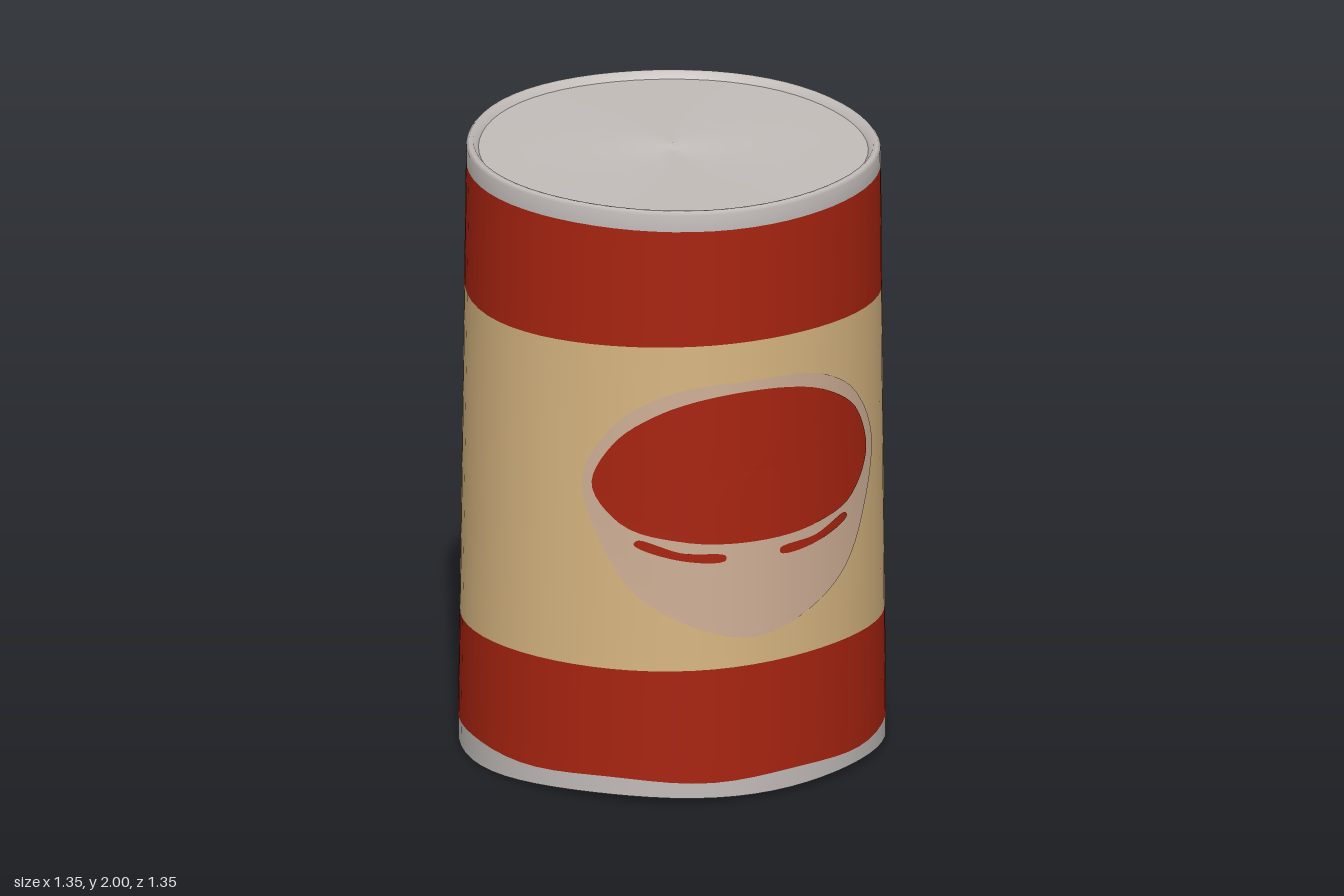
import * as THREE from 'three';

const mat = (name, color, side = THREE.FrontSide) => {
  const m = new THREE.MeshStandardMaterial({ color, side });
  m.name = name;
  return m;
};

const SEG = 64;
const rad = THREE.MathUtils.degToRad;

// Point on the slightly tapered, slightly leaning can wall; angle 0 is the front, turning towards +x
function wall(angle, y, offset = 0, scale = 1) {
  const r = (0.676 - 0.011 * y + 0.004 * Math.cos(5 * angle + 1) + offset) * scale;
  return new THREE.Vector3(Math.sin(angle) * r, y, Math.cos(angle) * r + 0.006 * y);
}

// Skin a list of closed rings of equal length
function loft(rings) {
  const n = rings[0].length, pos = [], idx = [];
  rings.forEach(ring => ring.forEach(p => pos.push(p.x, p.y, p.z)));
  for (let j = 0; j < rings.length - 1; j++) {
    for (let i = 0; i < n; i++) {
      const k = (i + 1) % n, a = j * n + i, b = j * n + k;
      idx.push(a, b, b + n, a, b + n, a + n);
    }
  }
  const g = new THREE.BufferGeometry();
  g.setAttribute('position', new THREE.Float32BufferAttribute(pos, 3));
  g.setIndex(idx);
  g.computeVertexNormals();
  return g;
}

const ring = (heightAt, scale = 1) => Array.from({ length: SEG }, (_, i) => {
  const a = (i / SEG) * Math.PI * 2;
  return wall(a, heightAt(a), 0, scale);
});

// Curved label patch filling a smooth counter-clockwise outline of [degrees, height] points
function patch(outline, offset) {
  const curve = new THREE.CatmullRomCurve3(
    outline.map(([d, y]) => new THREE.Vector3(rad(d), y, 0)), true, 'centripetal');
  const pts = curve.getPoints(72).slice(0, 72);
  const c = pts.reduce((s, p) => s.add(p), new THREE.Vector3()).divideScalar(pts.length);
  const rings = [];
  for (let k = 8; k >= 0; k--) {
    rings.push(pts.map(p => {
      const q = c.clone().lerp(p, k / 8);
      return wall(q.x, q.y, offset);
    }));
  }
  return loft(rings);
}

export function createModel() {
  const group = new THREE.Group();
  const red = mat('red', 0xa82410);
  const tan = mat('tan', 0xd8b681);
  const silver = mat('silver', 0xc2bcb9);
  const pink = mat('pale pink', 0xcfaf96);
  const mauve = mat('mauve grey', 0x9f8882);

  const add = (name, geometry, material) => {
    const m = new THREE.Mesh(geometry, material);
    m.name = name;
    group.add(m);
  };

  // Heights of the seams, varying gently around the can
  const top = a => 1.985 - 0.015 * Math.cos(a);
  const topEdge = a => 1.92 - 0.014 * Math.cos(a);
  const upper = a => 1.53 - 0.022 * Math.cos(a) + 0.018 * Math.cos(2 * a);
  const lower = a => 0.43 + 0.018 * Math.cos(a) + 0.005 * Math.sin(3 * a);
  const lowEdge = a => 0.08 - 0.008 * Math.cos(a) + 0.006 * Math.sin(7 * a);
  const bottom = a => 0.015 - 0.006 * Math.cos(4 * a) + 0.006 * Math.cos(2 * a);
  const shift = (f, d) => a => f(a) + d;

  // Wall bands
  const between = (lo, hi) => loft([0, 0.25, 0.5, 0.75, 1].map(t =>
    ring(a => THREE.MathUtils.lerp(lo(a), hi(a), t))));
  add('lowerBand', between(lowEdge, lower), red);
  add('labelBand', between(lower, upper), tan);
  add('upperBand', between(upper, topEdge), red);

  // Metal ends
  add('bottomRim', between(bottom, lowEdge), silver);
  add('bottomPlate', loft([0, 0.5, 0.94, 1].map((s, i) =>
    ring(shift(bottom, i < 2 ? 0.012 : 0), s))), silver);
  add('topRim', loft([ring(topEdge), ring(shift(top, -0.01)), ring(top, 0.985),
    ring(top, 0.965), ring(shift(top, -0.022), 0.94)]), silver);
  add('lid', loft([0.94, 0.6, 0.3, 0].map(s => ring(shift(top, -0.022), s))), silver);

  // Front emblem: pale bowl, red oval and two thin strokes
  add('frontBowl', patch([[0, 0.54], [19, 0.6], [33, 0.7], [41, 0.83], [48, 1.06], [39, 1.25],
    [22, 1.37], [0, 1.395], [-22, 1.37], [-39, 1.25], [-48, 1.06], [-41, 0.83],
    [-33, 0.7], [-19, 0.6]], 0.003), pink);
  add('frontOval', patch([[0, 0.86], [20, 0.875], [36, 0.93], [43.5, 1.05], [39, 1.19], [26, 1.3],
    [10, 1.355], [-10, 1.355], [-26, 1.3], [-39, 1.19], [-45, 1.05], [-37, 0.93],
    [-20, 0.875]], 0.006), red);
  for (const s of [-1, 1]) {
    const stroke = [[8, 0.808], [20, 0.812], [33, 0.862], [32, 0.876], [20, 0.838], [8, 0.822]];
    const pts = s > 0 ? stroke : stroke.map(([d, y]) => [-d, y]).reverse();
    add('frontStroke', patch(pts, 0.006), red);
  }

  // Back emblem: pale backing, irregular red shape, small stroke and upright panel
  const back = pts => pts.map(([d, y]) => [215 + d, y]);
  add('backBacking', patch(back([[-56, 0.87], [-42, 0.8], [-34, 0.75], [-22, 0.745], [-10, 0.8],
    [-2, 0.9], [6, 1.08], [-5, 1.2], [-20, 1.34], [-32, 1.405], [-43, 1.395],
    [-57, 1.29], [-64, 1.14], [-62, 0.98]]), 0.003), pink);
  add('backShape', patch(back([[-51, 0.91], [-25, 0.925], [-10, 0.937], [-4.6, 0.957], [3, 1.073],
    [-7.4, 1.173], [-18, 1.212], [-23.5, 1.325], [-32, 1.385], [-43, 1.38],
    [-57, 1.283], [-63.5, 1.162], [-57, 1.08], [-61, 0.976]]), 0.006), red);
  add('backStroke', patch(back([[-60, 0.795], [-53, 0.79], [-53, 0.81], [-60, 0.815]]), 0.006), red);
  add('backPanel', patch(back([[-55, 0.43], [-44, 0.415], [-34, 0.42], [-33.5, 0.6], [-33, 0.765],
    [-44, 0.79], [-55, 0.77], [-57, 0.72], [-56, 0.58]]), 0.006), mauve);

  return group;
}
